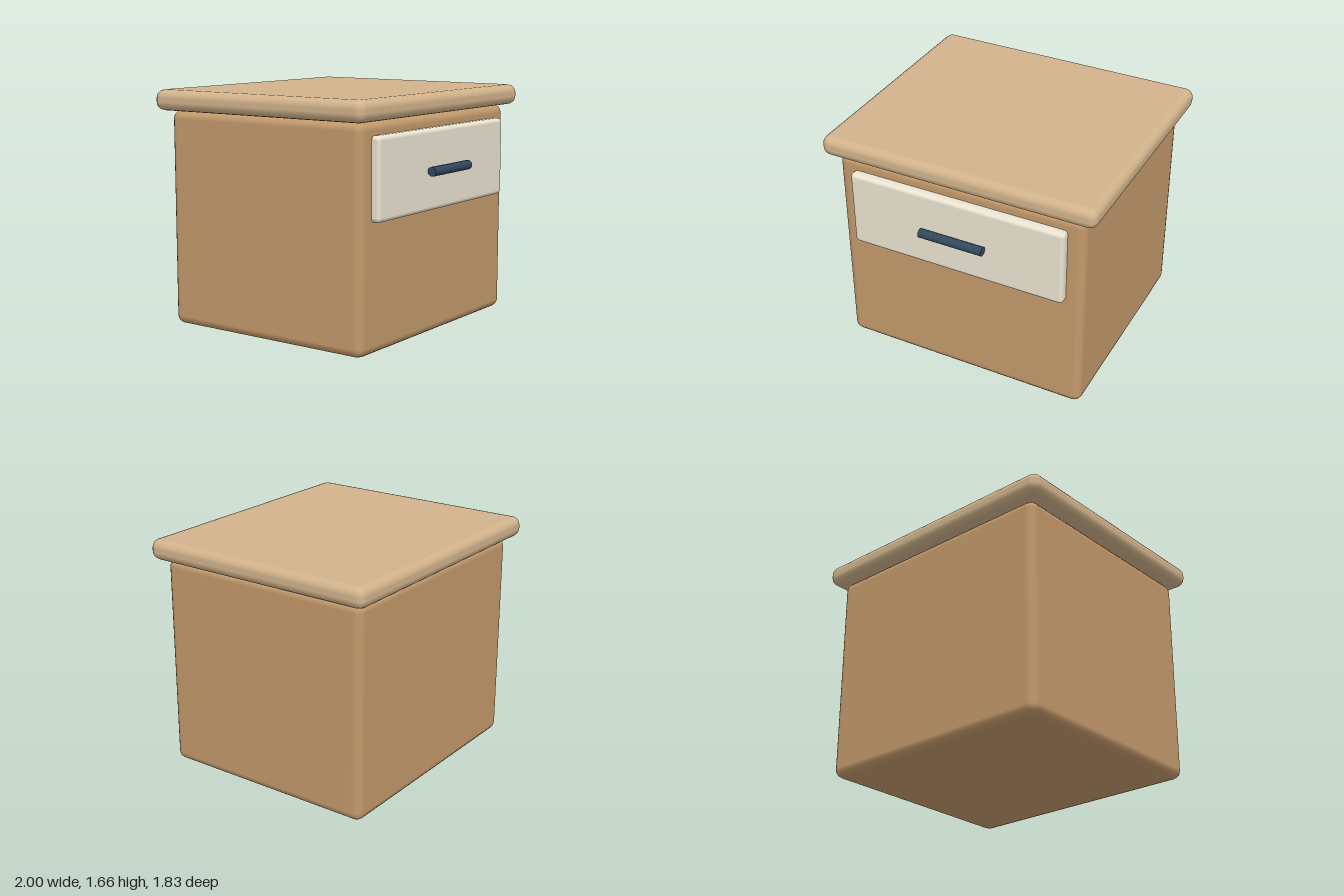
import * as THREE from 'three';
import { RoundedBoxGeometry } from 'three/addons/geometries/RoundedBoxGeometry.js';

// Rounded block given by its min and max corners
function block(name, min, max, radius, color) {
  const size = max.map((v, i) => v - min[i]);
  const mesh = new THREE.Mesh(
    new RoundedBoxGeometry(...size, 2, radius),
    new THREE.MeshStandardMaterial({ color })
  );
  mesh.position.set(...max.map((v, i) => (v + min[i]) / 2));
  mesh.name = name;
  return mesh;
}

export function createModel() {
  const group = new THREE.Group();
  group.name = 'nightstand';

  // Cabinet, overhanging top and drawer front
  group.add(
    block('cabinetBody', [-0.91, 0, -0.84], [0.91, 1.52, 0.78], 0.06, 0xc49a6c),
    block('tabletop', [-1, 1.52, -0.915], [1, 1.665, 0.85], 0.06, 0xd2b48c),
    block('drawerFront', [-0.79, 0.875, 0.72], [0.79, 1.43, 0.84], 0.03, 0xece4d2)
  );

  // Horizontal bar handle
  const handle = new THREE.Mesh(
    new THREE.CylinderGeometry(0.033, 0.033, 0.47, 10),
    new THREE.MeshStandardMaterial({ color: 0x34495e })
  );
  handle.rotation.z = Math.PI / 2;
  handle.position.set(0, 1.15, 0.88);
  handle.name = 'drawerHandle';
  group.add(handle);

  return group;
}
